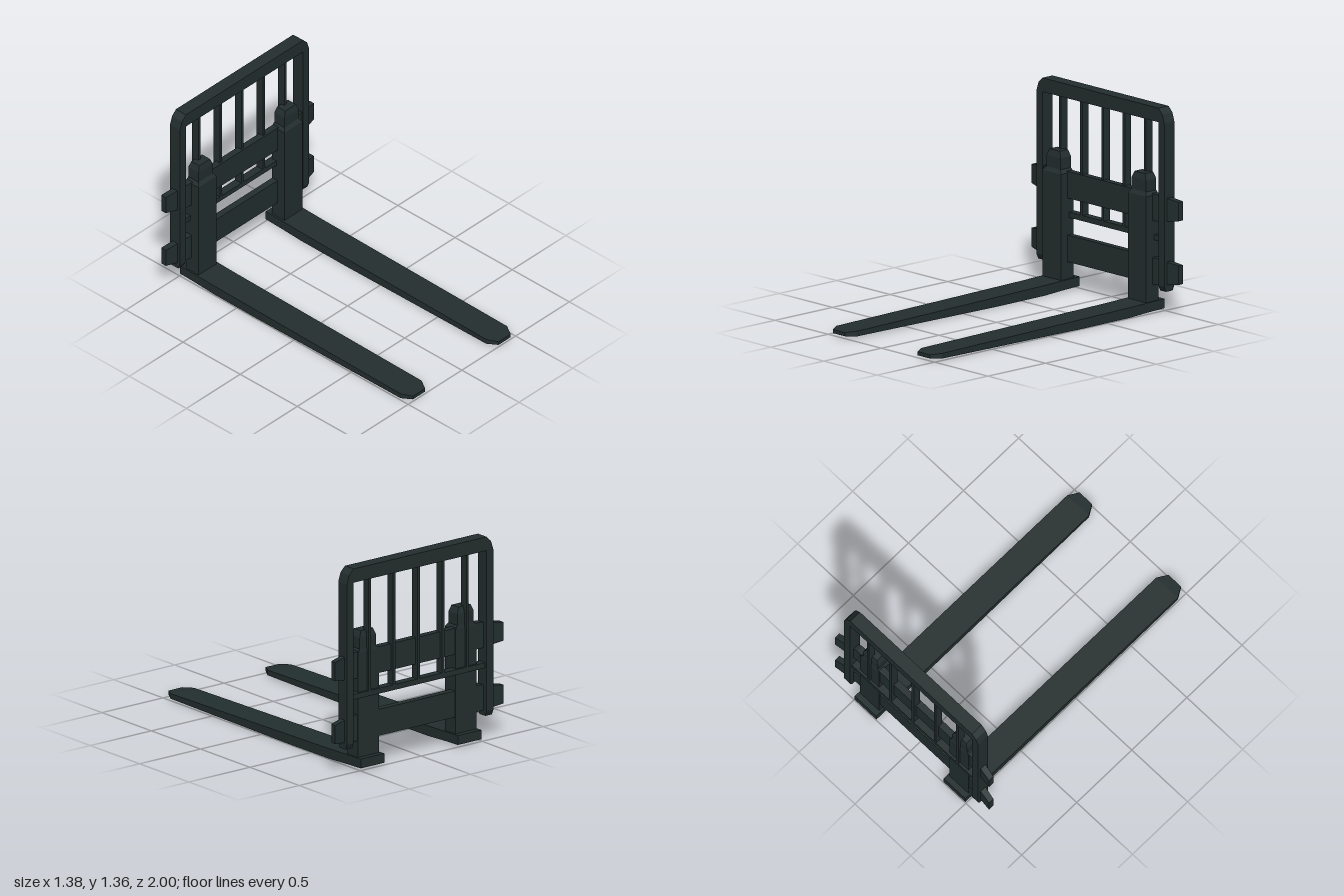
import * as THREE from 'three';

const steel = new THREE.MeshStandardMaterial({ color: 0x232e2e });
steel.name = 'dark steel';

// Loft of rectangular sections [t, u0, u1, v0, v1] in rising t.
// (u, v) is (y, z) along x, (z, x) along y, (x, y) along z.
function loft(axis, sections) {
  const pos = [];
  const rings = sections.map(([t, u0, u1, v0, v1]) =>
    [[u0, v0], [u1, v0], [u1, v1], [u0, v1]].map(([u, v]) =>
      axis === 'x' ? [t, u, v] : axis === 'y' ? [v, t, u] : [u, v, t]));
  const quad = (a, b, c, d) => pos.push(...a, ...b, ...c, ...a, ...c, ...d);
  for (let i = 0; i < rings.length - 1; i++) {
    for (let k = 0; k < 4; k++) {
      const n = (k + 1) % 4;
      quad(rings[i][k], rings[i][n], rings[i + 1][n], rings[i + 1][k]);
    }
  }
  const first = rings[0], last = rings[rings.length - 1];
  quad(first[3], first[2], first[1], first[0]);
  quad(...last);
  const geo = new THREE.BufferGeometry();
  geo.setAttribute('position', new THREE.Float32BufferAttribute(pos, 3));
  geo.computeVertexNormals();
  return geo;
}

export function createModel() {
  const model = new THREE.Group();
  model.name = 'forkCarriage';
  const add = (name, geo, x = 0, y = 0, z = 0) => {
    const mesh = new THREE.Mesh(geo, steel);
    mesh.name = name;
    mesh.position.set(x, y, z);
    model.add(mesh);
  };

  // Upright guard frame with clipped upper corners
  const outline = [
    [-0.6, 0.19], [-0.545, 0.19], [-0.545, 1.263], [0.545, 1.263], [0.545, 0.19], [0.6, 0.19],
    [0.6, 1.262], [0.581, 1.32], [0.545, 1.355], [-0.545, 1.355], [-0.581, 1.32], [-0.6, 1.262],
  ];
  const shape = new THREE.Shape(outline.map(([x, y]) => new THREE.Vector2(x, y)));
  add('guardFrame', new THREE.ExtrudeGeometry(shape, { depth: 0.088, bevelEnabled: false }), 0, 0, -0.99);

  // Chamfered feet of the frame
  for (const s of [-1, 1]) {
    add('frameFoot', loft('y', [
      [0.155, -0.975, -0.917, -0.0275, 0.0275],
      [0.19, -0.99, -0.902, -0.0275, 0.0275],
    ]), s * 0.5725);
  }

  // Thin guard bars and their lower rail
  for (let i = -2; i <= 2; i++) {
    add('guardBar', new THREE.BoxGeometry(0.02, 0.78, 0.055), i * 0.2, 0.88, -0.948);
  }
  add('lowerRail', new THREE.BoxGeometry(1.1, 0.036, 0.055), 0, 0.493, -0.948);

  // Carriage plates, with tapered ends swept backwards
  for (const [name, y] of [['lowerPlate', 0.274], ['upperPlate', 0.693]]) {
    const end = [0.69, -0.062, 0.062, -0.982, -0.942];
    const bend = [0.52, -0.088, 0.088, -0.954, -0.908];
    const flip = ([t, ...rest]) => [-t, ...rest];
    add(name, loft('x', [flip(end), flip(bend), bend, end]), 0, y);
  }

  // Forks: upright shank with a stepped hook, and a long tapering blade
  for (const s of [-1, 1]) {
    add('forkShank', loft('y', [
      [0.05, -0.96, -0.85, -0.085, 0.085],
      [0.77, -0.96, -0.85, -0.085, 0.085],
      [0.795, -0.955, -0.865, -0.067, 0.067],
      [0.87, -0.955, -0.865, -0.067, 0.067],
      [0.912, -0.945, -0.875, -0.05, 0.05],
    ]), s * 0.4);
    add('forkBlade', loft('z', [
      [-1, -0.097, 0.097, 0.015, 0.077],
      [-0.85, -0.097, 0.097, 0.01, 0.073],
      [-0.7, -0.097, 0.097, 0.002, 0.069],
      [-0.3, -0.097, 0.097, 0, 0.063],
      [0.93, -0.097, 0.097, 0.011, 0.045],
      [1, -0.057, 0.057, 0.016, 0.04],
    ]), s * 0.398);
  }
  return model;
}
